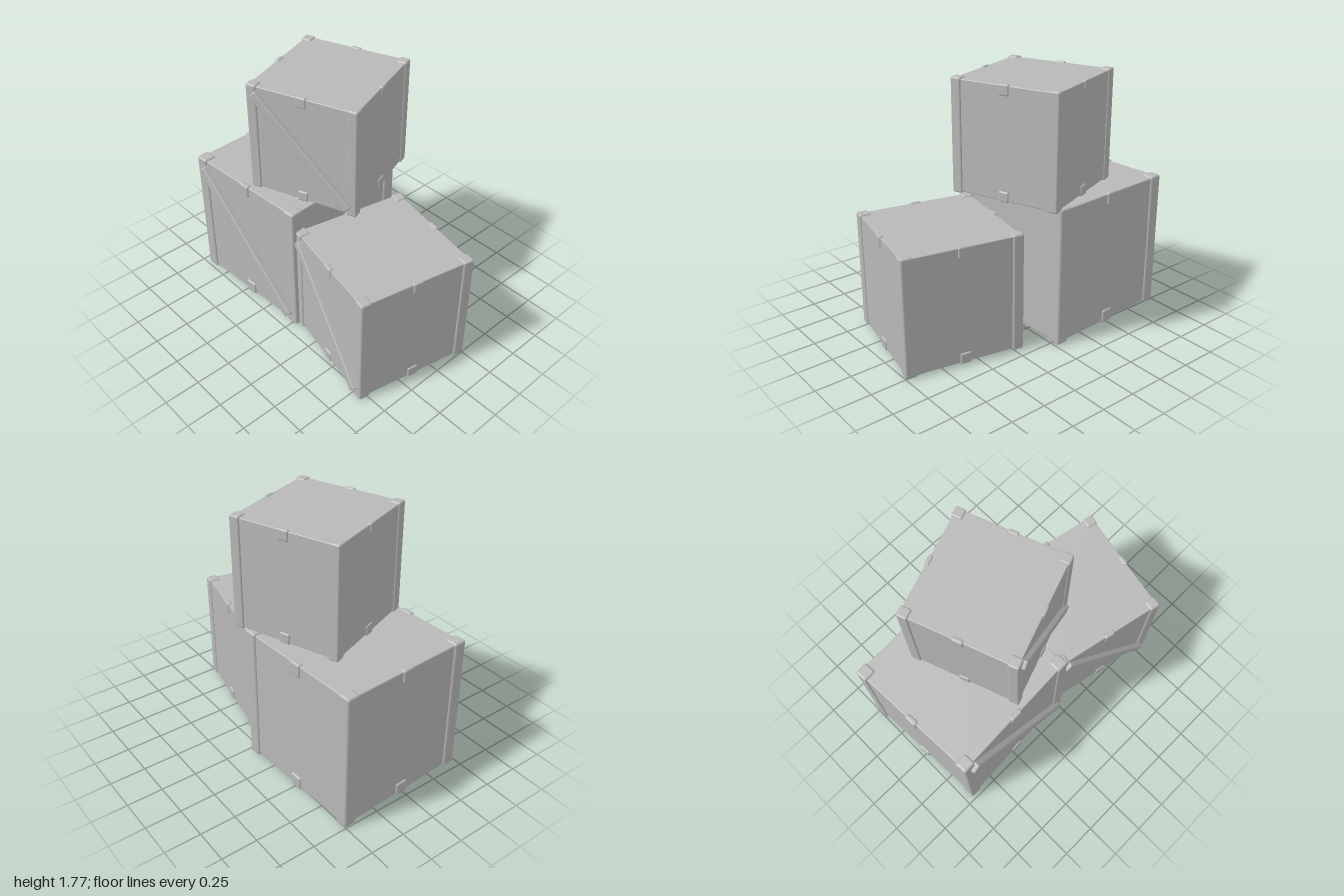
import * as THREE from 'three';
import { RoundedBoxGeometry } from 'three/addons/geometries/RoundedBoxGeometry.js';

const grey = new THREE.MeshStandardMaterial({ color: 0xb8b8b8 });
grey.name = 'grey';

// Shared parts of a crate one unit wide, centred on its own origin
const panelBox = new RoundedBoxGeometry(0.974, 0.976, 0.974, 2, 0.008);
const postBox = new RoundedBoxGeometry(0.094, 1, 0.094, 3, 0.016);
const clipBox = new RoundedBoxGeometry(0.094, 0.094, 0.04, 3, 0.014);
const braceBox = new RoundedBoxGeometry(1.22, 0.078, 0.07, 2, 0.012);

function addPart(parent, name, geometry, x = 0, y = 0, z = 0) {
  const mesh = new THREE.Mesh(geometry, grey);
  mesh.name = name;
  mesh.position.set(x, y, z);
  parent.add(mesh);
  return mesh;
}

function makeCrate(name, size, x, baseY, z, turn) {
  const crate = new THREE.Group();
  crate.name = name;
  addPart(crate, 'body', panelBox);

  // Corner posts
  for (const sx of [-1, 1]) {
    for (const sz of [-1, 1]) addPart(crate, 'cornerPost', postBox, sx * 0.453, 0, sz * 0.453);
  }

  // Clips at the middle of the top and bottom edges on all four sides
  for (let i = 0; i < 4; i++) {
    const side = new THREE.Group();
    side.name = 'sideClips';
    side.rotation.y = i * Math.PI / 2;
    for (const sy of [-1, 1]) addPart(side, 'edgeClip', clipBox, 0, sy * 0.451, 0.479);
    crate.add(side);
  }

  // Diagonal brace across the front
  addPart(crate, 'diagonalBrace', braceBox, 0, 0, 0.496).rotation.z = -Math.PI / 4;

  crate.scale.setScalar(size);
  crate.position.set(x, baseY + size / 2, z);
  crate.rotation.y = turn;
  return crate;
}

export function createModel() {
  const model = new THREE.Group();
  model.name = 'crateStack';
  model.add(
    makeCrate('largeCrate', 0.99, -0.48, 0.003, -0.04, 0.052),
    makeCrate('mediumCrate', 0.84, 0.507, 0.003, 0.067, -0.205),
    makeCrate('topCrate', 0.78, -0.17, 0.993, -0.093, 0.35)
  );
  return model;
}
